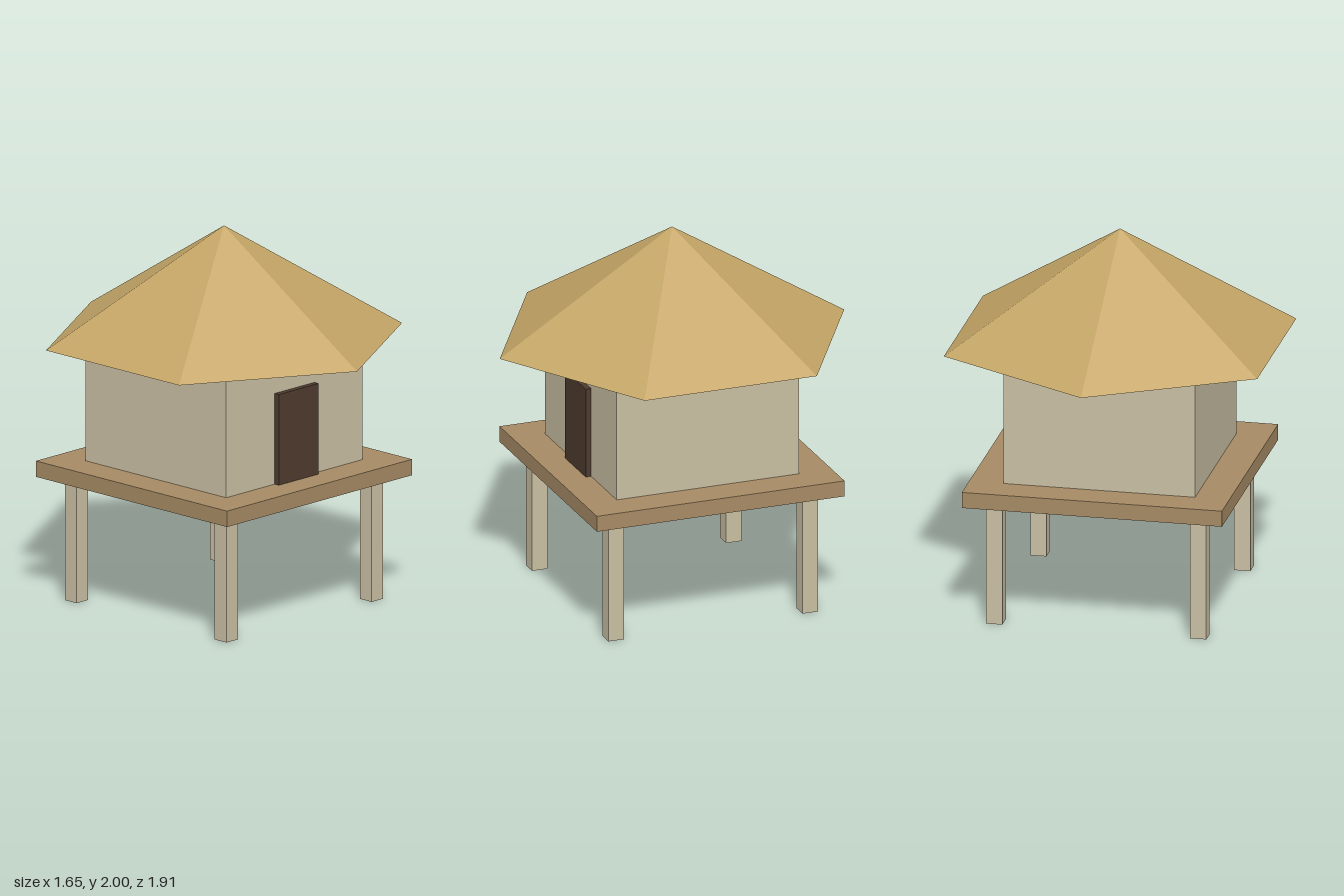
import * as THREE from 'three';

const material = (name, color) => {
  const m = new THREE.MeshStandardMaterial({ color });
  m.name = name;
  return m;
};

export function createModel() {
  const model = new THREE.Group();
  model.name = 'stiltHut';
  const plaster = material('pale plaster', 0xc8bea2);
  const planks = material('brown planks', 0xa68a64);
  const thatch = material('straw thatch', 0xc4a566);
  const darkWood = material('dark wood', 0x4e3a2e);

  // Box from its size, bottom height and centre
  const box = (name, mat, w, h, d, x, bottom, z) => {
    const mesh = new THREE.Mesh(new THREE.BoxGeometry(w, h, d), mat);
    mesh.name = name;
    mesh.position.set(x, bottom + h / 2, z);
    model.add(mesh);
  };

  // Four stilts under the deck
  for (const [side, x] of [['Left', 0.537], ['Right', -0.537]])
    for (const [end, z] of [['front', 0.537], ['back', -0.537]])
      box(`${end}${side}Stilt`, plaster, 0.085, 0.66, 0.085, x, 0, z);

  // Deck, hut walls and door
  box('deck', planks, 1.37, 0.085, 1.37, 0, 0.66, 0);
  box('walls', plaster, 1.01, 0.66, 1.01, 0, 0.745, 0);
  box('door', darkWood, 0.294, 0.485, 0.03, 0, 0.745, 0.52);

  // Six-sided roof with sharp facets
  const roofShape = new THREE.ConeGeometry(0.953, 0.595, 6).toNonIndexed();
  roofShape.computeVertexNormals();
  const roof = new THREE.Mesh(roofShape, thatch);
  roof.name = 'roof';
  roof.position.y = 2 - 0.595 / 2;
  model.add(roof);

  return model;
}
